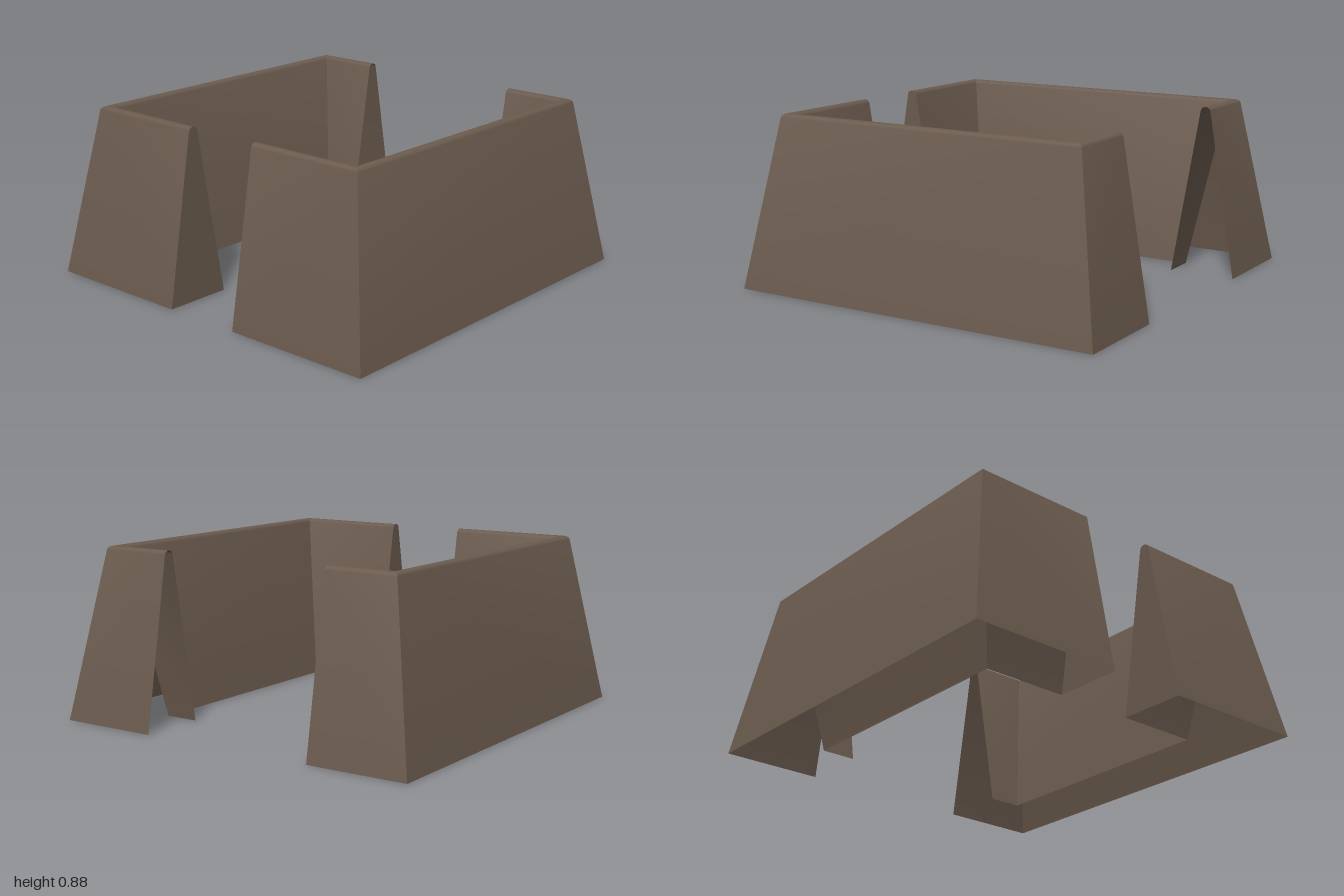
import * as THREE from 'three';
import { toCreasedNormals } from 'three/addons/utils/BufferGeometryUtils.js';

// Wall cross-section as [distance inward from outer foot, height]:
// two sloping sides meeting in a small rounded ridge, open underneath
function wallProfile() {
  const pts = [[0, 0]];
  const lean = THREE.MathUtils.degToRad(10);
  const steps = 7;
  for (let i = 0; i <= steps; i++) {
    const a = Math.PI - lean - (i / steps) * (Math.PI - 2 * lean);
    pts.push([0.175 + 0.027 * Math.cos(a), 0.858 + 0.022 * Math.sin(a)]);
  }
  pts.push([0.35, 0]);
  return pts;
}

// Sweep the profile round a C-shaped path with mitred corners
function wallGeometry(profile, side, frontX, backX) {
  const positions = [];
  const index = [];
  const n = profile.length;
  for (let s = 0; s < 4; s++) {
    for (const [d, y] of profile) {
      const r = 1 - d;
      const x = s === 0 ? frontX : s === 3 ? backX : side * r;
      positions.push(x, y, s < 2 ? r : -r);
    }
  }
  for (let s = 0; s < 3; s++) {
    for (let j = 0; j < n - 1; j++) {
      const a = s * n + j, b = a + n, c = b + 1, d = a + 1;
      if (side > 0) index.push(a, b, c, a, c, d);
      else index.push(a, c, b, a, d, c);
    }
  }
  const geo = new THREE.BufferGeometry();
  geo.setAttribute('position', new THREE.Float32BufferAttribute(positions, 3));
  geo.setIndex(index);
  return toCreasedNormals(geo, 0.65);
}

export function createModel() {
  const model = new THREE.Group();
  model.name = 'slopedWalls';
  const brown = new THREE.MeshStandardMaterial({ color: 0x6b5b4e, side: THREE.DoubleSide });
  brown.name = 'earthBrown';

  const profile = wallProfile();
  const capShape = new THREE.Shape(profile.map(([d, y]) => new THREE.Vector2(d, y)));

  const halves = [
    { name: 'left', side: 1, frontX: 0.215, backX: 0.47 },
    { name: 'right', side: -1, frontX: -0.2, backX: -0.47 },
  ];
  for (const { name, side, frontX, backX } of halves) {
    const wall = new THREE.Mesh(wallGeometry(profile, side, frontX, backX), brown);
    wall.name = name + 'Wall';
    model.add(wall);

    // Closed end beside the front gap; the back ends stay open
    const capGeo = new THREE.ShapeGeometry(capShape);
    capGeo.rotateY(Math.PI / 2).translate(frontX, 0, 1);
    const cap = new THREE.Mesh(capGeo, brown);
    cap.name = name + 'FrontEndCap';
    model.add(cap);
  }
  return model;
}
